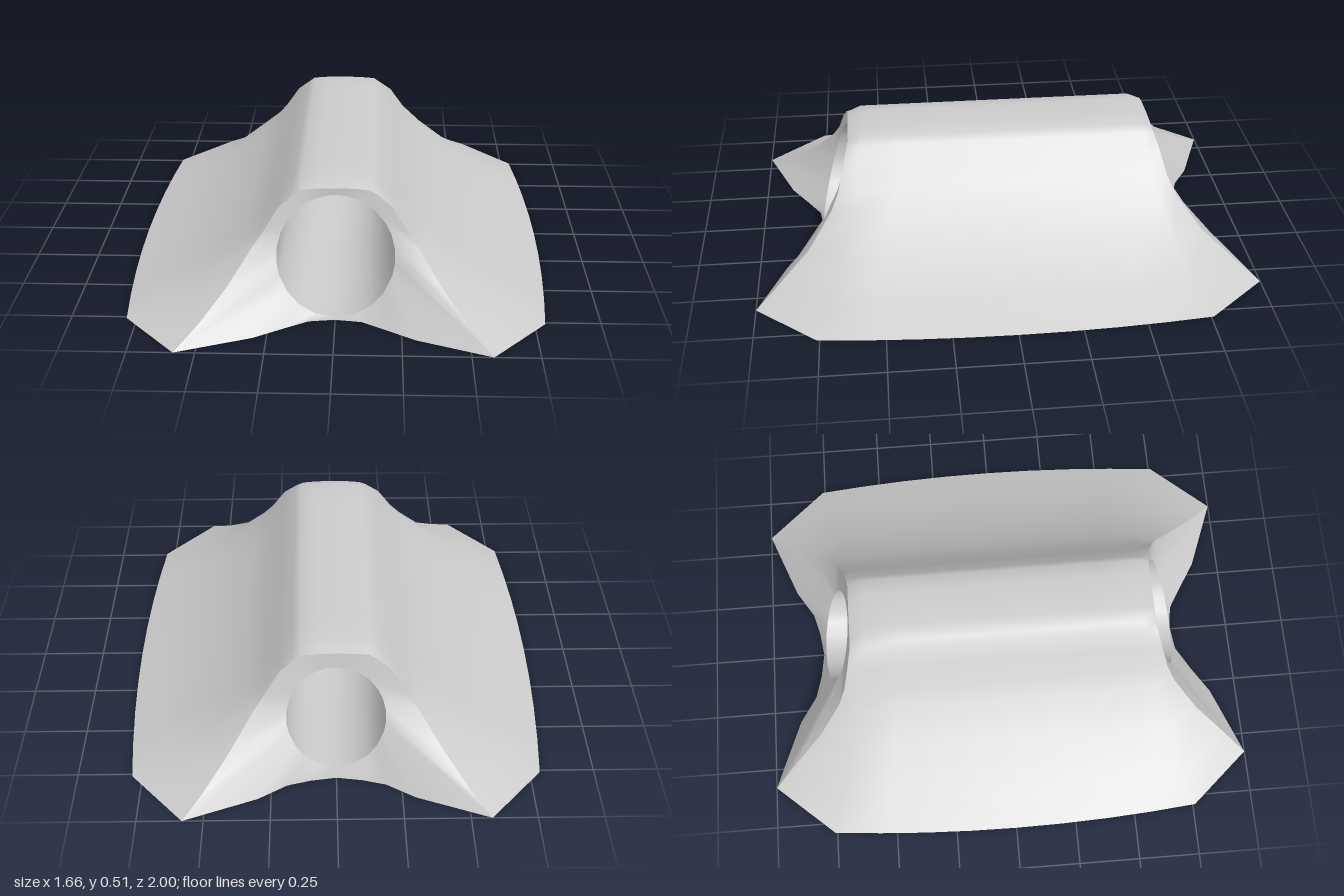
import * as THREE from 'three';
import { mergeVertices } from 'three/addons/utils/BufferGeometryUtils.js';

const material = new THREE.MeshStandardMaterial({ color: 0xcccccc, side: THREE.DoubleSide });

// Smooth surface through a grid of [x, y, z] points
function loft(name, rows) {
  const n = rows[0].length, index = [];
  for (let i = 0; i < rows.length - 1; i++) {
    for (let j = 0; j < n - 1; j++) {
      const a = i * n + j, b = a + n;
      index.push(a, b, a + 1, b, b + 1, a + 1);
    }
  }
  let geometry = new THREE.BufferGeometry();
  geometry.setAttribute('position', new THREE.Float32BufferAttribute(rows.flat(2), 3));
  geometry.setIndex(index);
  geometry = mergeVertices(geometry, 1e-4);
  geometry.computeVertexNormals();
  const mesh = new THREE.Mesh(geometry, material);
  mesh.name = name;
  return mesh;
}

// Half profile from base to ridge: y and x at mid length, x and z of the
// shoulder, then x, y, z of the seam with the end face
const LEVELS = [
  [0, 0.83, 0.79, 0.76, 0.58, 0, 1],
  [0.06, 0.69, 0.66, 0.71, 0.5, 0.06, 0.91],
  [0.15, 0.505, 0.49, 0.66, 0.405, 0.15, 0.79],
  [0.27, 0.355, 0.35, 0.62, 0.315, 0.27, 0.695],
  [0.33, 0.285, 0.282, 0.6, 0.27, 0.33, 0.665],
  [0.42, 0.218, 0.218, 0.59, 0.212, 0.42, 0.64],
  [0.475, 0.163, 0.163, 0.58, 0.155, 0.465, 0.625],
  [0.5, 0.135, 0.135, 0.565, 0.125, 0.48, 0.62],
  [0.508, 0.075, 0.075, 0.555, 0.07, 0.485, 0.62],
  [0.51, 0, 0, 0.55, 0, 0.487, 0.62],
];

// One lengthwise row of the skin, from back to front
function skinRow([y, xMid, xShoulder, zShoulder, xSeam, ySeam, zSeam], side) {
  const row = [[side * xSeam, ySeam, -zSeam]];
  for (let k = -4; k <= 4; k++) {
    const t = k / 4;
    row.push([side * (xMid + (xShoulder - xMid) * t * t), y, zShoulder * t]);
  }
  row.push([side * xSeam, ySeam, zSeam]);
  return row;
}

// Closes a half loop by mirroring it across x = 0
function mirrorLoop(half) {
  const other = half.slice(0, -1).reverse().map(([x, y, z]) => [-x, y, z]);
  return [...half, ...other];
}

// Outer boundary of an end face: along the base, then up the seam
function outerLoop(dir, zBase) {
  const base = [[0, 0, zBase], [0.1, 0, zBase + 0.015], [0.19, 0, 0.82], [0.3, 0, 0.89]];
  const seam = LEVELS.map((l) => [l[4], l[5], l[6]]);
  return mirrorLoop([...base, ...seam].map(([x, y, z]) => [x, y, z * dir]));
}

// Rim of the bore, leaning back towards the top
const RIM_ANGLES = [0, 20, 38, 54, 72, 84, 98, 112, 123, 138, 150, 160, 170, 180];
function rimLoop(dir, yCentre, radius, zBottom, zTop) {
  return mirrorLoop(RIM_ANGLES.map((deg) => {
    const a = THREE.MathUtils.degToRad(deg), t = (1 - Math.cos(a)) / 2;
    return [radius * Math.sin(a), yCentre - radius * Math.cos(a), dir * (zBottom + (zTop - zBottom) * t)];
  }));
}

export function createModel() {
  const group = new THREE.Group();
  group.name = 'saddleBlock';

  // Flared sides and rounded ridge
  const left = LEVELS.map((l) => skinRow(l, 1));
  const right = LEVELS.slice(0, -1).reverse().map((l) => skinRow(l, -1));
  group.add(loft('outerSkin', [...left, ...right]));

  // End faces around the openings
  const frontRim = rimLoop(1, 0.235, 0.224, 0.75, 0.62);
  const backRim = rimLoop(-1, 0.238, 0.191, 0.765, 0.63);
  group.add(loft('frontFace', [frontRim, outerLoop(1, 0.75)]));
  group.add(loft('backFace', [outerLoop(-1, 0.78), backRim]));

  // Slightly tapered bore, open underneath the shell
  group.add(loft('bore', [backRim, frontRim]));
  return group;
}
